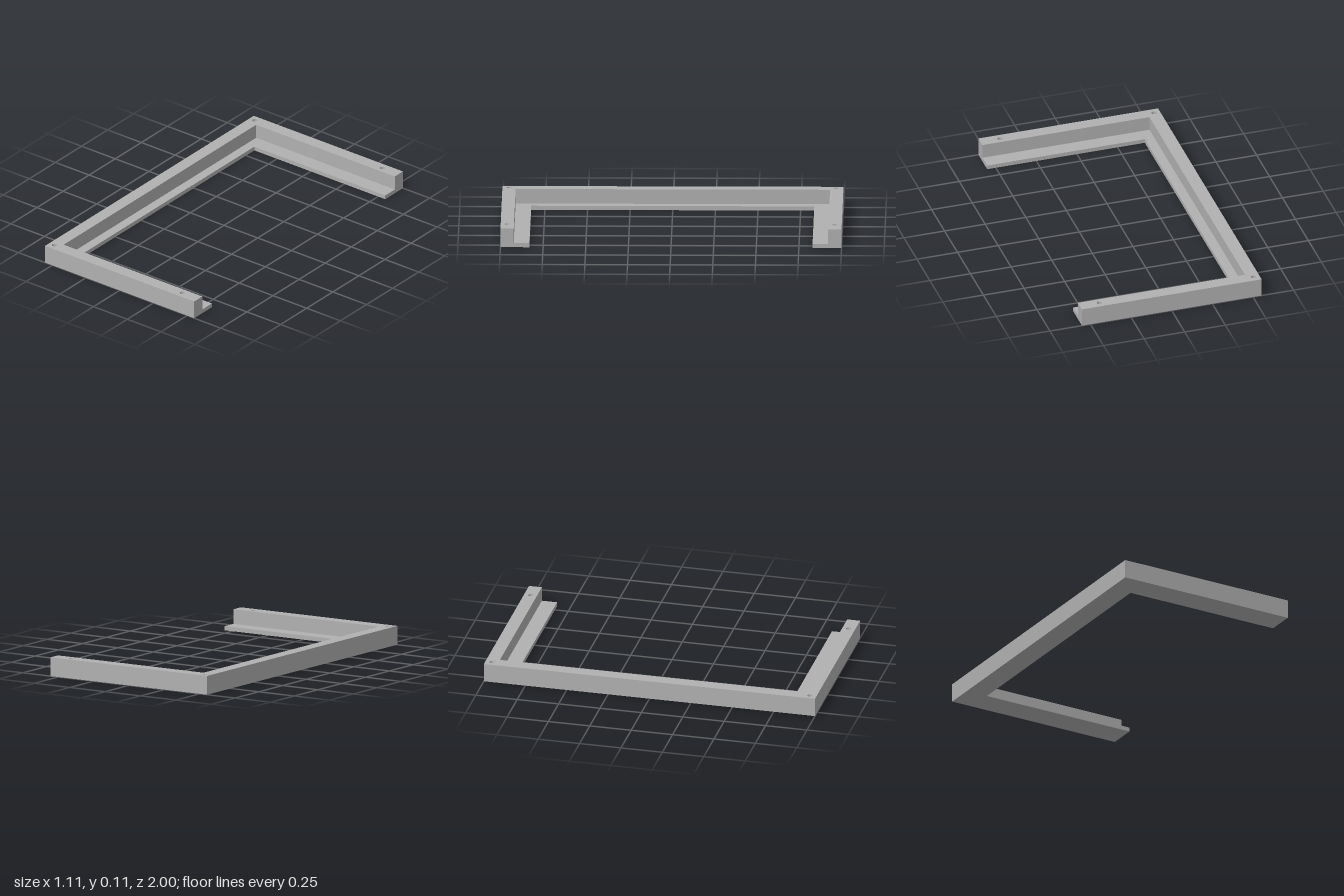
import * as THREE from 'three';

const HALF_X = 0.553, HALF_Z = 1;
const HEIGHT = 0.112, LEDGE = 0.025;

// C-shaped outline, open towards +x
function channelShape(innerX, innerZ) {
  return new THREE.Shape([
    [-HALF_X, -HALF_Z], [HALF_X, -HALF_Z], [HALF_X, -innerZ], [innerX, -innerZ],
    [innerX, innerZ], [HALF_X, innerZ], [HALF_X, HALF_Z], [-HALF_X, HALF_Z],
  ].map(([x, y]) => new THREE.Vector2(x, y)));
}

// Extrude an outline upwards from y0 to y1
function slab(name, shape, y0, y1, material) {
  const geometry = new THREE.ExtrudeGeometry(shape, { depth: y1 - y0, bevelEnabled: false, curveSegments: 24 });
  geometry.rotateX(-Math.PI / 2).translate(0, y0, 0);
  const mesh = new THREE.Mesh(geometry, material);
  mesh.name = name;
  return mesh;
}

export function createModel() {
  const grey = new THREE.MeshStandardMaterial({ color: 0xb0b0b0 });
  grey.name = 'grey';

  const group = new THREE.Group();
  group.name = 'bracketFrame';

  // Thin base whose inner edge forms the ledge
  group.add(slab('baseLedge', channelShape(-0.417, 0.83), 0, LEDGE, grey));

  // Upright wall with four blind screw holes
  const wall = channelShape(-0.475, 0.922);
  for (const x of [-0.515, 0.433]) {
    for (const z of [-0.96, 0.96]) {
      wall.holes.push(new THREE.Path().absarc(x, z, 0.015, 0, Math.PI * 2, true));
    }
  }
  group.add(slab('wall', wall, LEDGE, HEIGHT, grey));

  return group;
}
